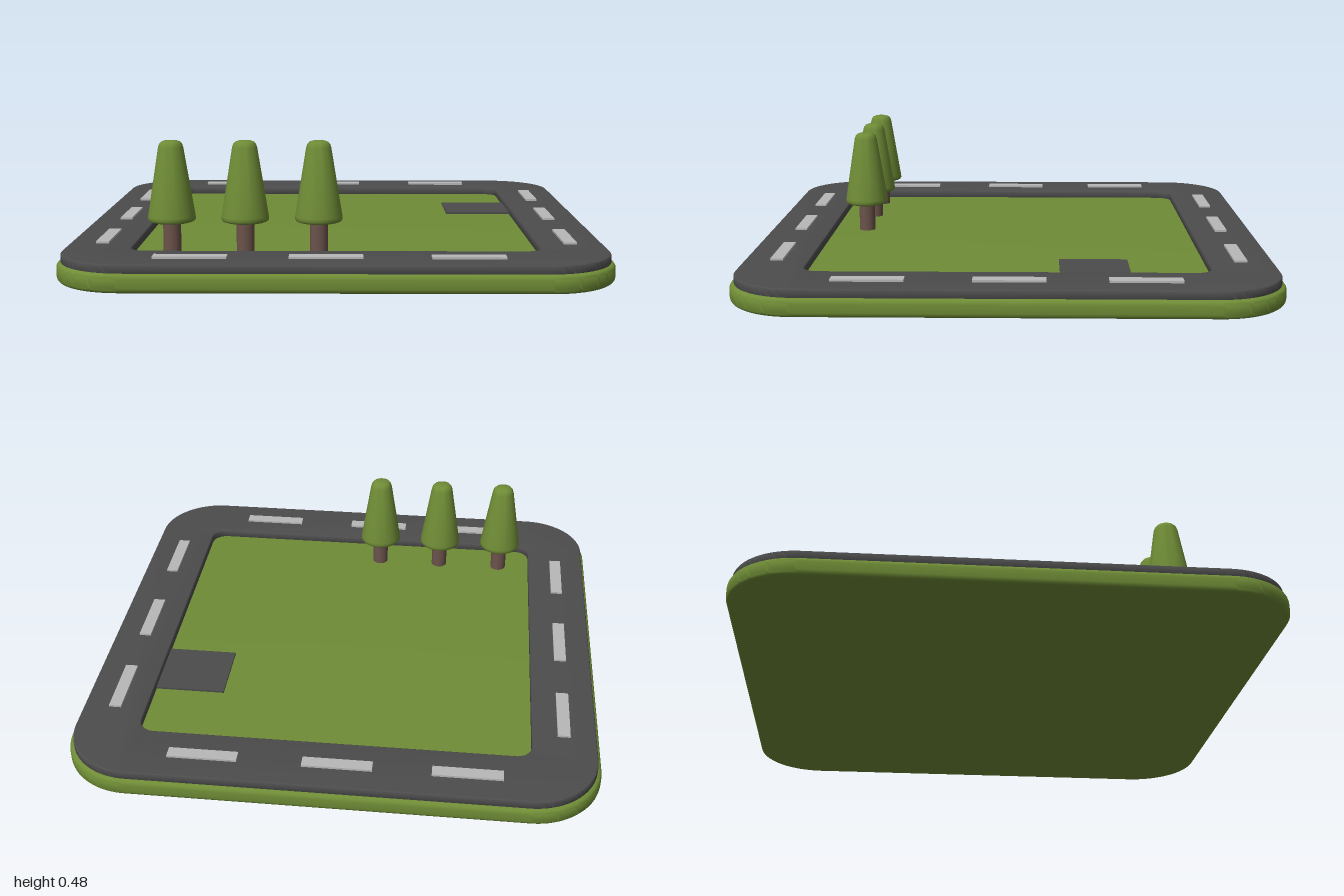
import * as THREE from 'three';
import { toCreasedNormals } from 'three/addons/utils/BufferGeometryUtils.js';

const material = (color) => new THREE.MeshStandardMaterial({ color });
const GRASS = material(0x6f8c36);
const ASPHALT = material(0x4c4c4c);
const PAINT = material(0xb8b8b8);
const BARK = material(0x6b524b);

// Traces a rounded square of half-size h and corner radius r
function roundedSquare(path, h, r) {
  path.moveTo(h, -h + r);
  path.absarc(h - r, h - r, r, 0, Math.PI / 2);
  path.absarc(-h + r, h - r, r, Math.PI / 2, Math.PI);
  path.absarc(-h + r, -h + r, r, Math.PI, Math.PI * 1.5);
  path.absarc(h - r, -h + r, r, Math.PI * 1.5, Math.PI * 2);
  return path;
}

// Lays a shape flat and extrudes it from y0 to y1 with rounded edges
function slab(shape, y0, y1, bevel) {
  const geometry = new THREE.ExtrudeGeometry(shape, {
    depth: y1 - y0 - 2 * bevel,
    bevelThickness: bevel,
    bevelSize: bevel,
    bevelOffset: -bevel,
    bevelSegments: 4,
    curveSegments: 16,
  });
  geometry.rotateX(-Math.PI / 2).translate(0, y0 + bevel, 0);
  return toCreasedNormals(geometry, 0.7);
}

function add(parent, name, geometry, mat, x = 0, y = 0, z = 0) {
  const mesh = new THREE.Mesh(geometry, mat);
  mesh.name = name;
  mesh.position.set(x, y, z);
  parent.add(mesh);
  return mesh;
}

function createTree() {
  const tree = new THREE.Group();
  tree.name = 'tree';
  add(tree, 'trunk', new THREE.CylinderGeometry(0.033, 0.033, 0.14, 24), BARK, 0, 0.13, 0);

  // Tapered crown with rounded rim and tip
  const profile = [
    [0, 0.183], [0.074, 0.183], [0.083, 0.186], [0.088, 0.193], [0.087, 0.205],
    [0.046, 0.458], [0.042, 0.47], [0.035, 0.478], [0.025, 0.482], [0, 0.483],
  ].map(([r, y]) => new THREE.Vector2(r, y));
  add(tree, 'foliage', toCreasedNormals(new THREE.LatheGeometry(profile, 32), 0.8), GRASS);
  return tree;
}

export function createModel() {
  const model = new THREE.Group();
  model.name = 'parkBlock';

  // Grass base
  add(model, 'ground', slab(roundedSquare(new THREE.Shape(), 1, 0.26), 0, 0.07, 0.02), GRASS);

  // Ring road
  const ring = roundedSquare(new THREE.Shape(), 0.985, 0.25);
  ring.holes.push(roundedSquare(new THREE.Path(), 0.742, 0.06));
  add(model, 'road', slab(ring, 0.063, 0.1, 0.006), ASPHALT);

  // Driveway off the road
  add(model, 'driveway', new THREE.BoxGeometry(0.28, 0.02, 0.26), ASPHALT, 0.61, 0.068, -0.322);

  // Lane dashes, three per side
  const markings = new THREE.Group();
  markings.name = 'laneMarkings';
  const alongX = new THREE.BoxGeometry(0.26, 0.02, 0.048);
  const alongZ = new THREE.BoxGeometry(0.048, 0.02, 0.26);
  for (const side of [-1, 1]) {
    for (const x of [-0.509, -0.032, 0.468]) add(markings, 'dash', alongX, PAINT, x, 0.098, side * 0.863);
    for (const z of [-0.49, -0.01, 0.49]) add(markings, 'dash', alongZ, PAINT, side * 0.863, 0.098, z);
  }
  model.add(markings);

  // Row of trees
  for (const x of [-0.605, -0.334, -0.063]) {
    const tree = createTree();
    tree.position.set(x, 0, 0.61);
    model.add(tree);
  }
  return model;
}
